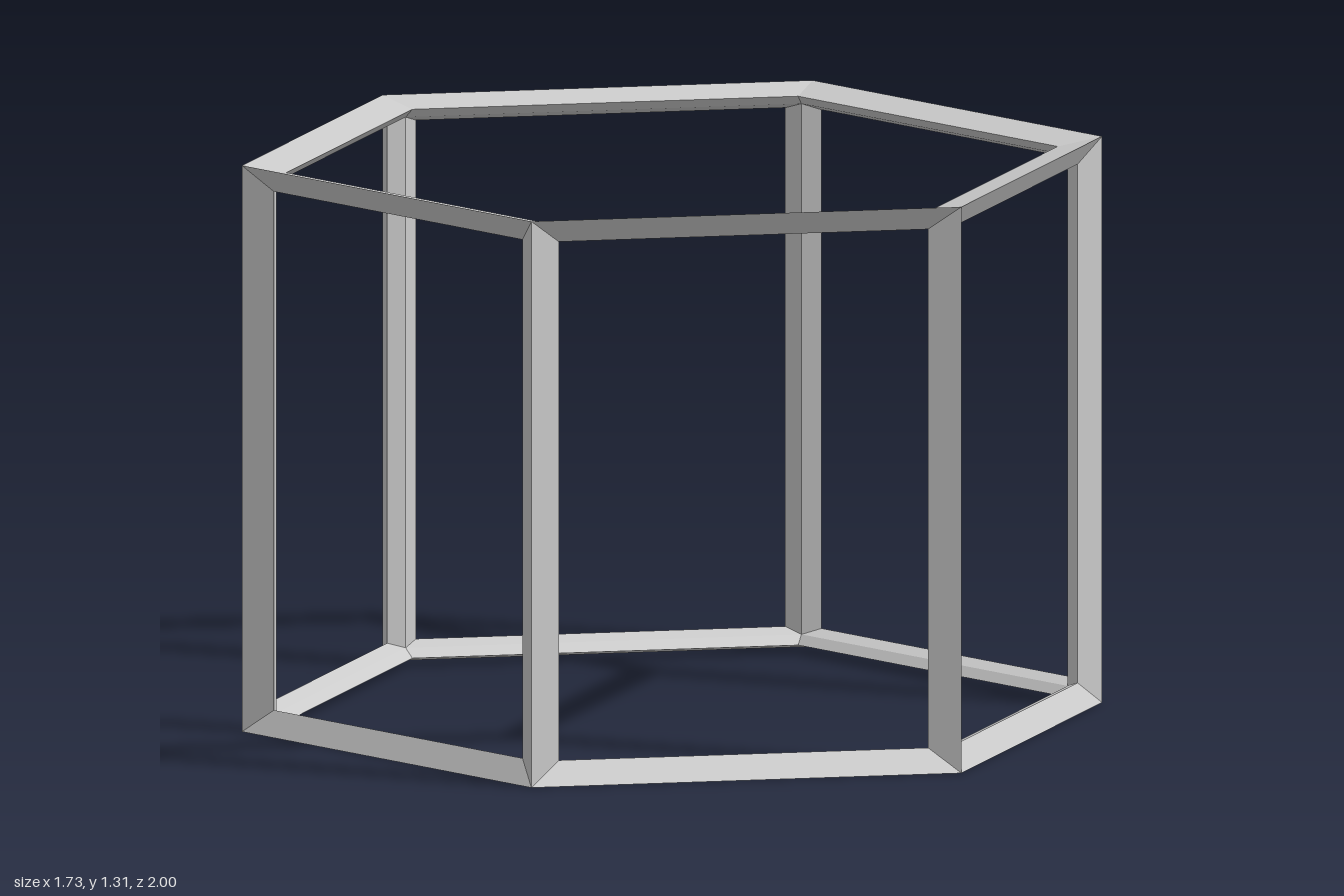
import * as THREE from 'three';

const HEIGHT = 1.31;
const SIDES = 6;
const STEP = (Math.PI * 2) / SIDES;
const APOTHEM = Math.cos(STEP / 2);

// Point at a radius, angle (0 = front, growing towards +x) and sideways shift
function polar(radius, angle, y, shift = 0) {
  return new THREE.Vector3(
    radius * Math.sin(angle) + shift * Math.cos(angle), y,
    radius * Math.cos(angle) - shift * Math.sin(angle));
}

// Bevelled frame: outer edge -> window edge -> inner edge, as strips of quads
function frameGeometry(rings) {
  const pos = [];
  const n = rings[0].length;
  for (let r = 0; r < rings.length - 1; r++) {
    for (let i = 0; i < n; i++) {
      const j = (i + 1) % n;
      const a = rings[r][i], b = rings[r][j], c = rings[r + 1][j], d = rings[r + 1][i];
      for (const p of [a, b, c, a, c, d]) pos.push(p.x, p.y, p.z);
    }
  }
  const geo = new THREE.BufferGeometry();
  geo.setAttribute('position', new THREE.Float32BufferAttribute(pos, 3));
  geo.computeVertexNormals();
  return geo;
}

export function createModel() {
  const group = new THREE.Group();
  group.name = 'hexagonalPrismFrame';
  const material = new THREE.MeshStandardMaterial({ color: 0xcccccc, flatShading: true });
  const add = (name, rings) => {
    const mesh = new THREE.Mesh(frameGeometry(rings), material);
    mesh.name = name;
    group.add(mesh);
  };

  // Top and bottom hexagonal frames: [radius, drop from the end plane]
  const endProfile = [[1, 0], [0.897, 0.02], [0.92, 0.041]];
  for (const top of [true, false]) {
    add(top ? 'topFrame' : 'bottomFrame', endProfile.map(([radius, drop]) => {
      const ring = [];
      for (let k = 0; k < SIDES; k++) {
        ring.push(polar(radius, k * STEP, top ? HEIGHT - drop : drop));
      }
      return top ? ring : ring.reverse();
    }));
  }

  // Six rectangular side frames: [distance from axis, half width, drop]
  const sideProfile = [
    [APOTHEM, 0.5, 0],
    [APOTHEM - 0.035, 0.5 - 0.0707, 0.055],
    [APOTHEM * 0.92, 0.46, 0.041],
  ];
  for (let k = 0; k < SIDES; k++) {
    const angle = (k + 0.5) * STEP;
    add('sideFrame' + (k + 1), sideProfile.map(([dist, half, drop]) => [
      polar(dist, angle, drop, -half),
      polar(dist, angle, drop, half),
      polar(dist, angle, HEIGHT - drop, half),
      polar(dist, angle, HEIGHT - drop, -half),
    ]));
  }
  return group;
}
